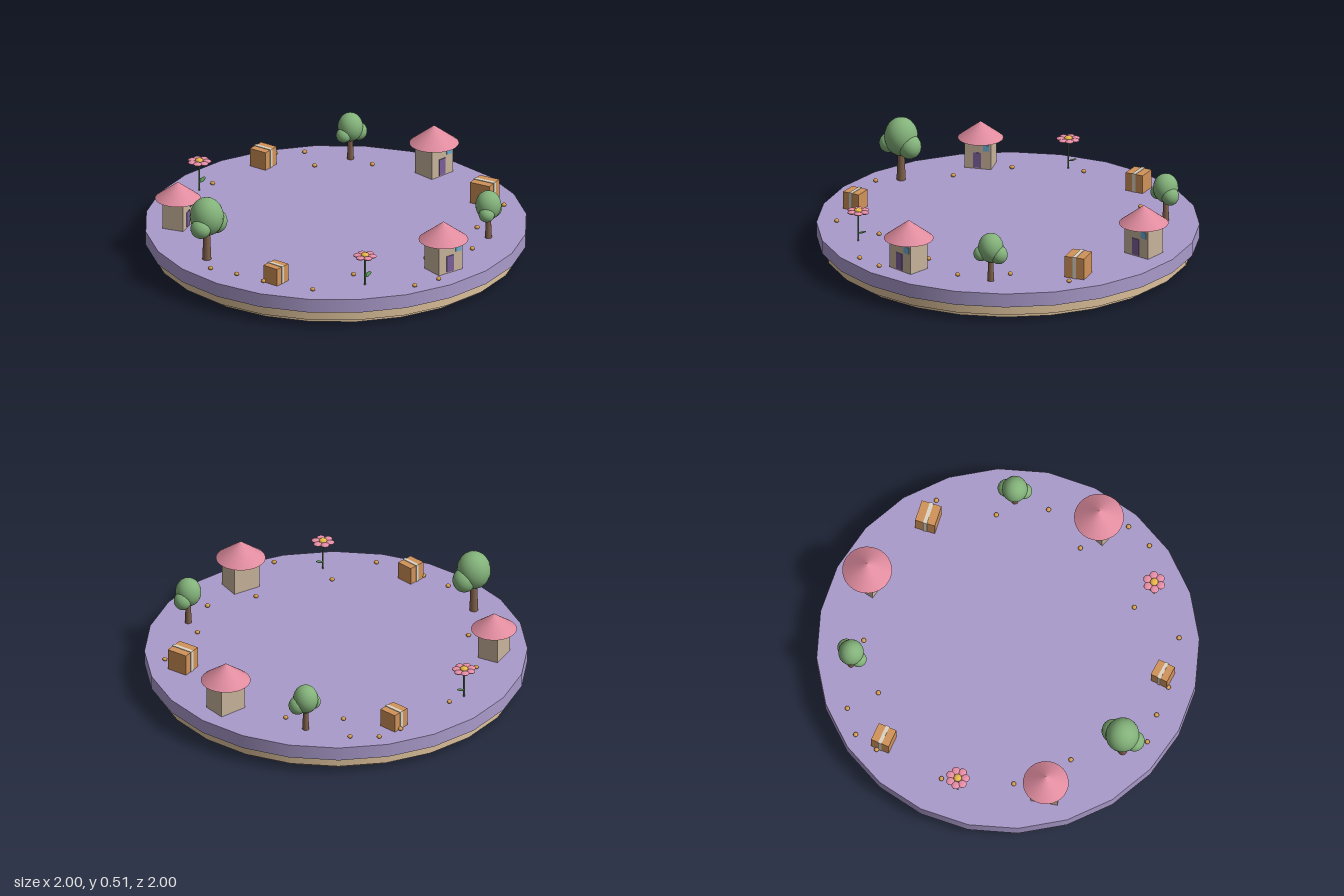
import * as THREE from 'three';

const mat = (color) => new THREE.MeshStandardMaterial({ color });
const M = {
  ground: mat(0xaa9bcb), sand: mat(0xdcc09a), wall: mat(0xc8b49c), roof: mat(0xe08c9f),
  door: mat(0x7d5f9c), glass: mat(0x6aaed6), leaf: mat(0x83b27a), trunk: mat(0x80604a),
  carton: mat(0xd2935a), tape: mat(0xddd5c5), petal: mat(0xe88fa8), yolk: mat(0xe8b84a),
  stem: mat(0x5c9158), pebble: mat(0xd9a050),
};
const FLOOR = 0.165;

function add(parent, name, geometry, material, x = 0, y = 0, z = 0) {
  const mesh = new THREE.Mesh(geometry, material);
  mesh.name = name;
  mesh.position.set(x, y, z);
  parent.add(mesh);
  return mesh;
}

// Ellipsoid with its own three radii
const blob = (rx, ry, rz) => new THREE.SphereGeometry(1, 20, 14).scale(rx, ry, rz);
const box = (w, h, d) => new THREE.BoxGeometry(w, h, d);

// Empty group standing on the floor
function place(parent, name, x, z, turn = 0, scale = 1) {
  const group = new THREE.Group();
  group.name = name;
  group.position.set(x, FLOOR, z);
  group.rotation.y = turn;
  group.scale.setScalar(scale);
  parent.add(group);
  return group;
}

function house(parent, x, z, turn, s) {
  const g = place(parent, 'house', x, z, turn, s);
  add(g, 'walls', box(0.155, 0.17, 0.125), M.wall, 0, 0.085, 0);
  add(g, 'roof', new THREE.ConeGeometry(0.13, 0.1, 28), M.roof, 0, 0.217, 0);
  add(g, 'door', box(0.045, 0.09, 0.008), M.door, -0.004, 0.052, 0.063);
  add(g, 'window', box(0.036, 0.036, 0.008), M.glass, 0.048, 0.128, 0.063);
}

function tree(parent, x, z, turn, s) {
  const g = place(parent, 'tree', x, z, turn, s);
  add(g, 'trunk', new THREE.CylinderGeometry(0.017, 0.024, 0.16, 12), M.trunk, 0, 0.08, 0);
  add(g, 'crown', blob(0.088, 0.104, 0.09), M.leaf, 0, 0.242, 0);
  add(g, 'leftCrown', blob(0.062, 0.066, 0.062), M.leaf, 0.059, 0.2, 0.012);
  add(g, 'rightCrown', blob(0.052, 0.052, 0.055), M.leaf, -0.066, 0.197, 0.012);
}

function carton(parent, x, z, turn, w, h, d) {
  const g = place(parent, 'carton', x, z, turn);
  add(g, 'cartonBody', box(w, h, d), M.carton, 0, h / 2, 0);
  // Strip running over the top and down both ends
  add(g, 'tape', box(w * 0.19, h + 0.003, d + 0.006), M.tape, 0, h / 2 + 0.0015, 0);
}

function flower(parent, x, z, petals, r) {
  const g = place(parent, 'flower', x, z);
  add(g, 'stem', new THREE.CylinderGeometry(0.004, 0.004, 0.16, 8), M.stem, 0, 0.08, 0);
  const leaf = add(g, 'flowerLeaf', blob(0.024, 0.004, 0.014), M.stem, 0.025, 0.052, 0);
  leaf.rotation.z = 0.35;
  for (let i = 0; i < petals; i++) {
    const a = (i / petals) * Math.PI * 2;
    add(g, 'petal', blob(0.022, 0.009, 0.022), M.petal, Math.cos(a) * r, 0.165, Math.sin(a) * r);
  }
  add(g, 'flowerCentre', blob(0.021, 0.013, 0.021), M.yolk, 0, 0.17, 0);
}

export function createModel() {
  const model = new THREE.Group();
  model.name = 'islandDisc';

  // Stepped base: [name, radius, bottom, top, material]
  const layers = [
    ['lowerBase', 0.92, 0, 0.035, M.sand],
    ['upperBase', 0.965, 0.03, 0.09, M.sand],
    ['ground', 1, 0.087, 0.162, M.ground],
  ];
  for (const [name, r, y0, y1, m] of layers) {
    add(model, name, new THREE.CylinderGeometry(r, r, y1 - y0, 24), m, 0, (y0 + y1) / 2, 0);
  }

  house(model, -0.12, 0.81, -0.25, 1);
  house(model, -0.54, -0.625, 0.29, 0.92);
  house(model, 0.825, 0, -0.13, 1);

  tree(model, -0.79, -0.235, 0, 1);
  tree(model, 0.34, 0.745, 0.3, 0.76);
  tree(model, 0.69, -0.45, -0.3, 0.75);

  carton(model, 0.343, -0.755, 0.05, 0.1, 0.1, 0.1);
  carton(model, -0.792, 0.226, 0, 0.094, 0.095, 0.092);
  carton(model, 0.692, 0.442, 0.16, 0.108, 0.117, 0.115);

  flower(model, -0.54, 0.62, 6, 0.039);
  flower(model, -0.12, -0.815, 7, 0.041);

  // Pebbles scattered around the edge
  const spots = [
    [-0.02, -0.805], [0.355, -0.815], [0.49, -0.79], [0.595, -0.68], [0.49, -0.53],
    [0.69, -0.305], [-0.37, -0.66], [-0.575, -0.405], [-0.885, -0.135], [-0.86, 0.02],
    [-0.845, 0.185], [-0.77, 0.455], [-0.485, 0.5], [-0.4, 0.84], [-0.255, 0.885],
    [-0.085, 0.665], [0.16, 0.78], [0.39, 0.63], [0.705, 0.56],
  ];
  const stone = new THREE.SphereGeometry(0.013, 10, 8).scale(1, 0.8, 1);
  for (const [x, z] of spots) add(model, 'pebble', stone, M.pebble, x, 0.174, z);

  return model;
}
